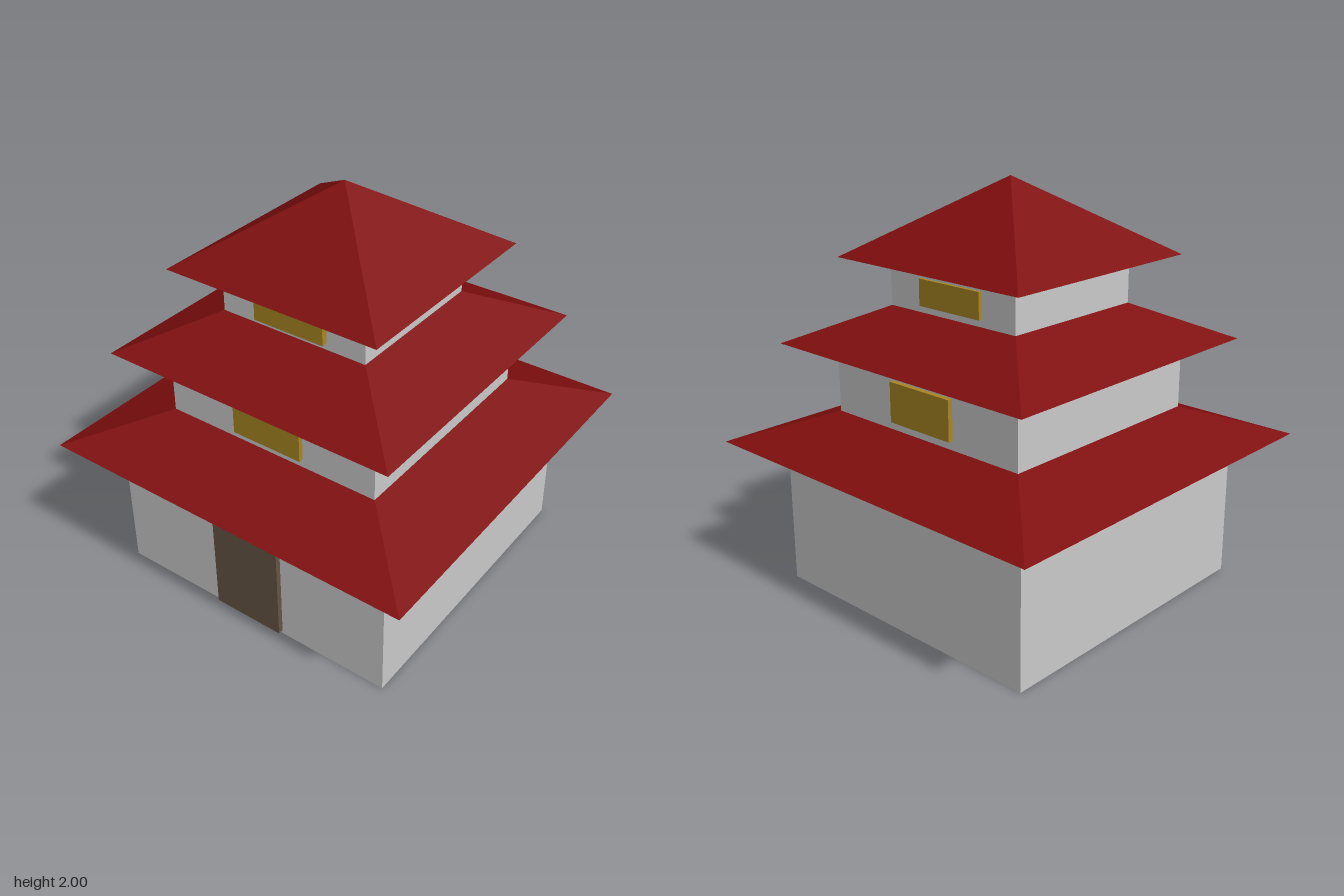
import * as THREE from 'three';

const material = (color) => new THREE.MeshStandardMaterial({ color, flatShading: true });

export function createModel() {
  const model = new THREE.Group();
  model.name = 'pagoda';
  const wall = material(0xcccccc);
  const roof = material(0x800e0e);
  const wood = material(0x665544);
  const gold = material(0xaa8822);

  // Box given by its size, its bottom height and its depth centre
  const addBox = (name, mat, w, h, d, y, z = 0) => {
    const mesh = new THREE.Mesh(new THREE.BoxGeometry(w, h, d), mat);
    mesh.name = name;
    mesh.position.set(0, y + h / 2, z);
    model.add(mesh);
  };

  // Square pyramid roof; the storey above stands through its tip
  const addRoof = (name, half, y) => {
    const height = 0.37;
    const geometry = new THREE.ConeGeometry(half * Math.SQRT2, height, 4);
    geometry.rotateY(Math.PI / 4);
    const mesh = new THREE.Mesh(geometry, roof);
    mesh.name = name;
    mesh.position.y = y + height / 2;
    model.add(mesh);
  };

  // Storeys
  addBox('lowerWalls', wall, 1.52, 0.72, 1.52, 0);
  addBox('middleWalls', wall, 1.15, 0.47, 1.15, 0.75);
  addBox('upperWalls', wall, 0.78, 0.39, 0.78, 1.24);

  // Roofs
  addRoof('lowerRoof', 0.972, 0.73);
  addRoof('middleRoof', 0.765, 1.22);
  addRoof('upperRoof', 0.563, 1.63);

  // Front door
  addBox('door', wood, 0.376, 0.56, 0.05, 0.02, 0.762);

  // Windows, front and back
  addBox('middleFrontWindow', gold, 0.376, 0.195, 0.05, 0.925, 0.574);
  addBox('middleBackWindow', gold, 0.376, 0.195, 0.05, 0.925, -0.574);
  addBox('upperFrontWindow', gold, 0.376, 0.127, 0.05, 1.435, 0.396);
  addBox('upperBackWindow', gold, 0.376, 0.127, 0.05, 1.435, -0.38);

  return model;
}
